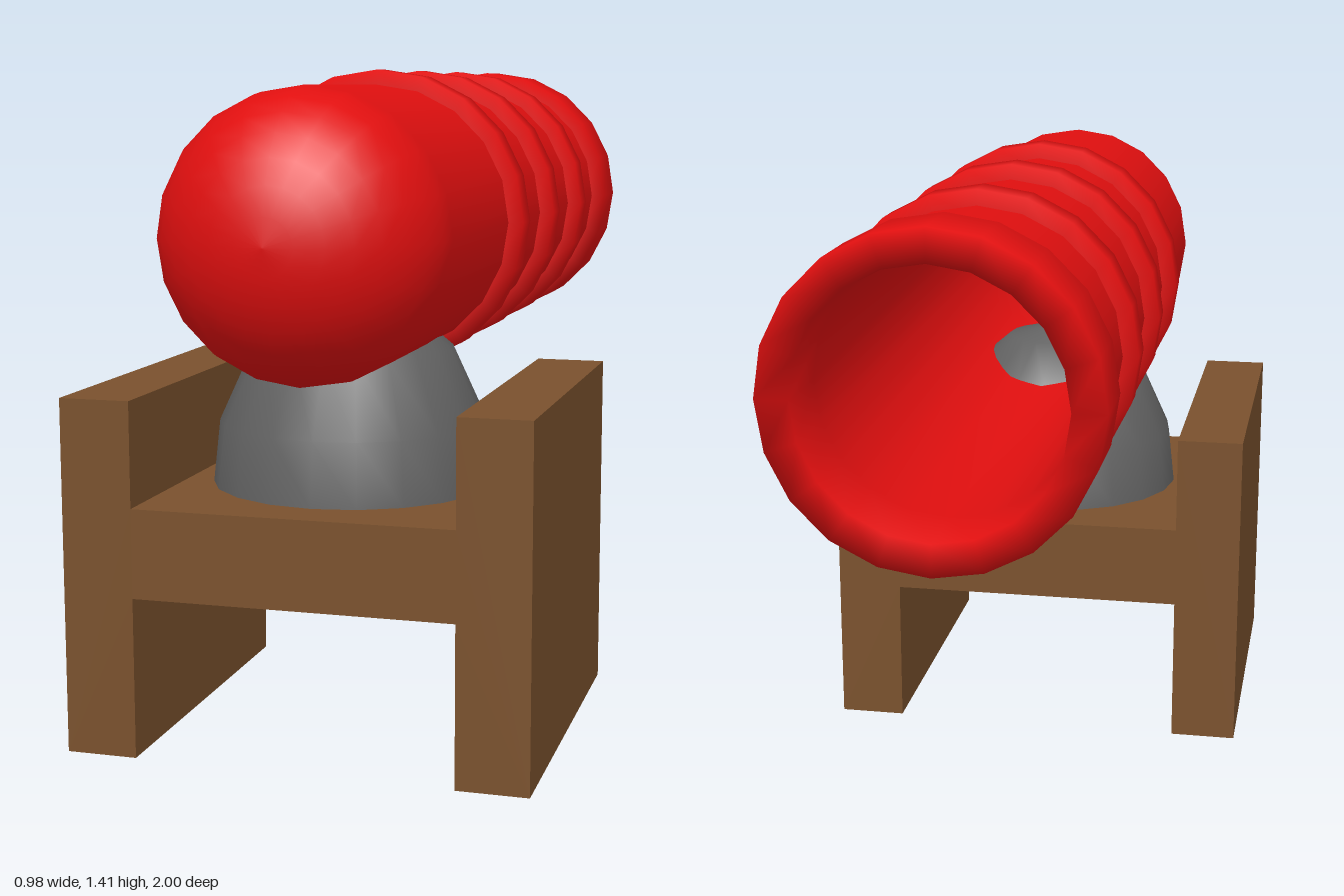
import * as THREE from 'three';

const SIDES = 20;

// Revolve [radius, height] pairs about the vertical axis.
function revolve(profile) {
  return new THREE.LatheGeometry(profile.map(([r, h]) => new THREE.Vector2(r, h)), SIDES);
}

export function createModel() {
  const red = new THREE.MeshStandardMaterial({ name: 'red paint', color: 0xe00f0f });
  const grey = new THREE.MeshStandardMaterial({ name: 'grey metal', color: 0x626262 });
  const brown = new THREE.MeshStandardMaterial({ name: 'brown wood', color: 0x7a512d });

  const model = new THREE.Group();
  model.name = 'cannon';
  const add = (parent, name, geometry, material) => {
    const mesh = new THREE.Mesh(geometry, material);
    mesh.name = name;
    parent.add(mesh);
    return mesh;
  };

  // Barrel group: local axis runs along z, muzzle at -z
  const barrel = new THREE.Group();
  barrel.name = 'barrel';
  barrel.position.set(0.02, 1.077, 0);
  model.add(barrel);
  const addRound = (name, profile) =>
    add(barrel, name, revolve(profile).rotateX(Math.PI / 2), red);

  // Outer tube ending in a rounded breech
  const body = [[0.296, -0.9]];
  for (let i = 0; i <= 8; i++) {
    const a = (i / 8) * Math.PI / 2;
    body.push([Math.max(0, 0.296 * Math.cos(a)), 0.74 + 0.26 * Math.sin(a)]);
  }
  addRound('barrelBody', body);

  // Hollow bore and muzzle collar with a softly shaded lip
  addRound('bore', [[0, 0.7], [0.262, 0.7], [0.262, -0.84]]);
  addRound('muzzle', [[0.262, -0.84], [0.262, -1], [0.329, -1], [0.329, -0.84], [0.28, -0.84]]);

  // Reinforcing rings
  for (const z of [0.203, -0.15, -0.515]) {
    addRound('ring', [[0.28, z - 0.038], [0.329, z - 0.038], [0.329, z + 0.038], [0.28, z + 0.038]]);
  }

  // Tapered pivot between the carriage and the barrel
  const pivot = add(model, 'pivot', revolve([
    [0.303, 0.51], [0.303, 0.525], [0.288, 0.66], [0.215, 0.82], [0.12, 0.9], [0, 0.93],
  ]), grey);
  pivot.position.set(0.012, 0, 0.4);

  // H-shaped wooden carriage
  const outer = 0.489, inner = 0.338, top = 0.746, deck = 0.525, under = 0.338;
  const section = new THREE.Shape([
    [-outer, 0], [-inner, 0], [-inner, under], [inner, under], [inner, 0], [outer, 0],
    [outer, top], [inner, top], [inner, deck], [-inner, deck], [-inner, top], [-outer, top],
  ].map(([x, y]) => new THREE.Vector2(x, y)));
  add(model, 'carriage',
    new THREE.ExtrudeGeometry(section, { depth: 0.802, bevelEnabled: false }), brown);

  return model;
}
